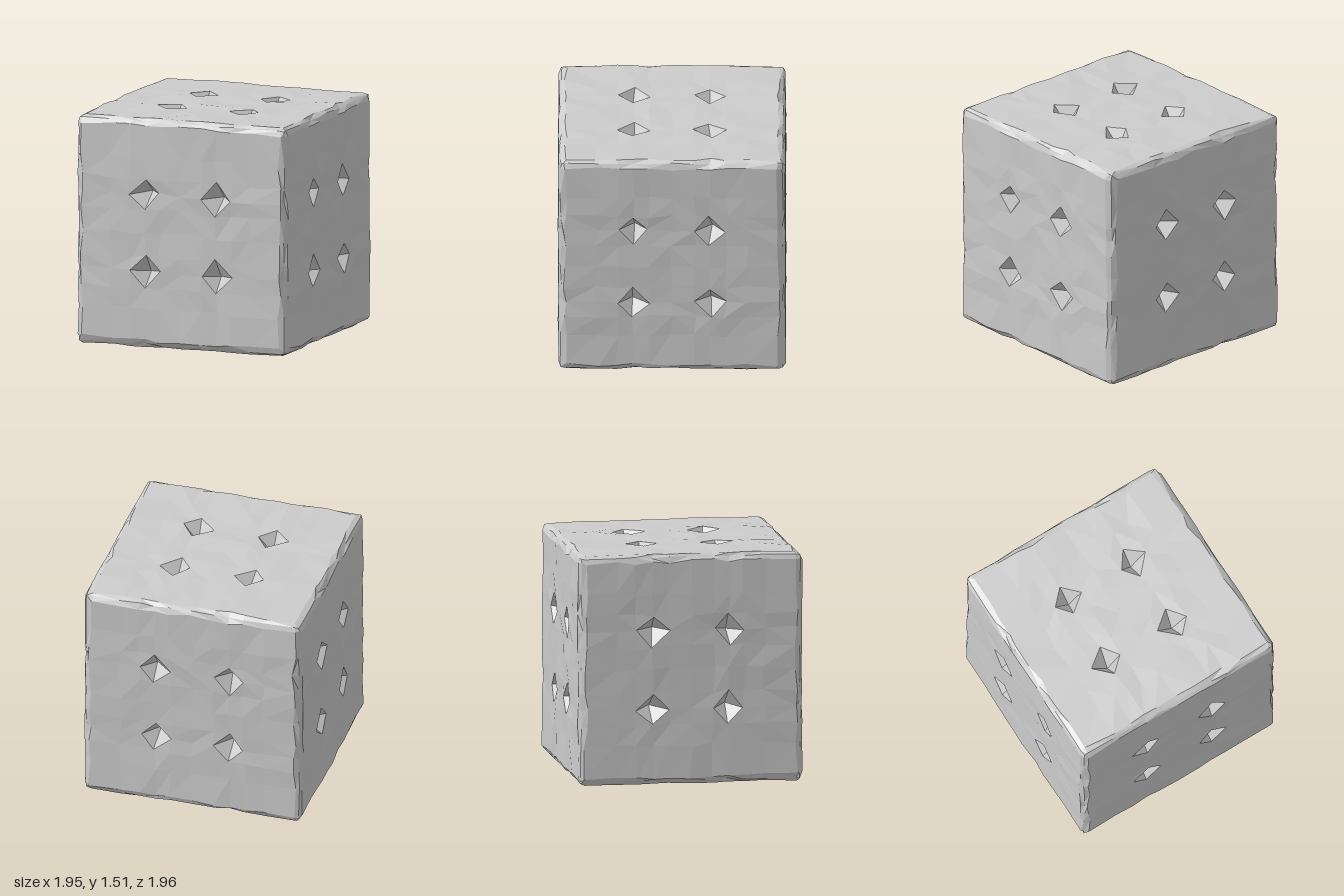
import * as THREE from 'three';

// Grid lines across each face, as a fraction of the half size.
// Lines 4 and 8 run through the pits; their neighbours are the pit corners.
const LINES = [-1, -0.94, -0.66, -0.48, -0.34, -0.2, 0, 0.2, 0.34, 0.48, 0.66, 0.94, 1];
const LAST = LINES.length - 1;
const HALF = [0.735, 0.752, 0.735];
const PIT_DEPTH = 0.11;
const isPitLine = (i) => i === 4 || i === 8;
const isEnd = (i) => i === 0 || i === LAST;

// Repeatable value from -1 to 1 for a grid point
function noise(index, channel) {
  let h = index[0] * 374761 + index[1] * 668265 + index[2] * 974711 + channel * 2246823 + 17;
  h = Math.imul(h ^ (h >>> 13), 1274126177);
  h = Math.imul(h ^ (h >>> 15), 2246822519);
  return ((h ^ (h >>> 16)) >>> 0) / 2147483648 - 1;
}

// Roughly hewn position of a point on the surface of the block
function surfacePoint(index) {
  const ends = index.filter(isEnd).length;
  const pitLines = index.filter(isPitLine).length;
  return index.map((n, axis) => {
    let p = LINES[n] * HALF[axis];
    if (isEnd(n)) {
      let inset = 0.005 * noise(index, axis);
      if (ends > 1) inset += 0.016; // worn edges
      if (ends === 2 && pitLines === 1) inset += 0.008; // edge notches
      if (ends === 1 && pitLines === 2) inset += PIT_DEPTH;
      p -= Math.sign(p) * inset;
    } else {
      p += 0.014 * noise(index, axis);
    }
    return p;
  });
}

function blockGeometry() {
  const positions = [];
  for (let axis = 0; axis < 3; axis++) {
    for (const end of [0, LAST]) {
      const u = (axis + 1) % 3, v = (axis + 2) % 3;
      const corner = (i, j) => {
        const index = [0, 0, 0];
        index[axis] = end;
        index[u] = i;
        index[v] = j;
        return surfacePoint(index);
      };
      const triangle = (a, b, c) => {
        positions.push(...a, ...(end ? b : c), ...(end ? c : b));
      };
      for (let i = 0; i < LAST; i++) {
        for (let j = 0; j < LAST; j++) {
          const a = corner(i, j), b = corner(i + 1, j);
          const c = corner(i + 1, j + 1), d = corner(i, j + 1);
          // The diagonal follows the rim of a diamond-shaped pit
          const pitAC = isPitLine(i) && isPitLine(j) || isPitLine(i + 1) && isPitLine(j + 1);
          const pitBD = isPitLine(i + 1) && isPitLine(j) || isPitLine(i) && isPitLine(j + 1);
          if (pitAC || (!pitBD && noise([i, j, end], axis + 5) > 0)) {
            triangle(a, b, d);
            triangle(b, c, d);
          } else {
            triangle(a, b, c);
            triangle(a, c, d);
          }
        }
      }
    }
  }
  const geometry = new THREE.BufferGeometry();
  geometry.setAttribute('position', new THREE.Float32BufferAttribute(positions, 3));
  geometry.rotateY(-0.475);
  geometry.computeBoundingBox();
  geometry.translate(0, -geometry.boundingBox.min.y, 0);
  geometry.computeVertexNormals();
  return geometry;
}

export function createModel() {
  const group = new THREE.Group();
  group.name = 'pittedStoneCube';
  const stone = new THREE.MeshStandardMaterial({ color: 0xcccccc });
  stone.name = 'stone grey';
  stone.flatShading = true;
  const block = new THREE.Mesh(blockGeometry(), stone);
  block.name = 'stoneBlock';
  group.add(block);
  return group;
}
